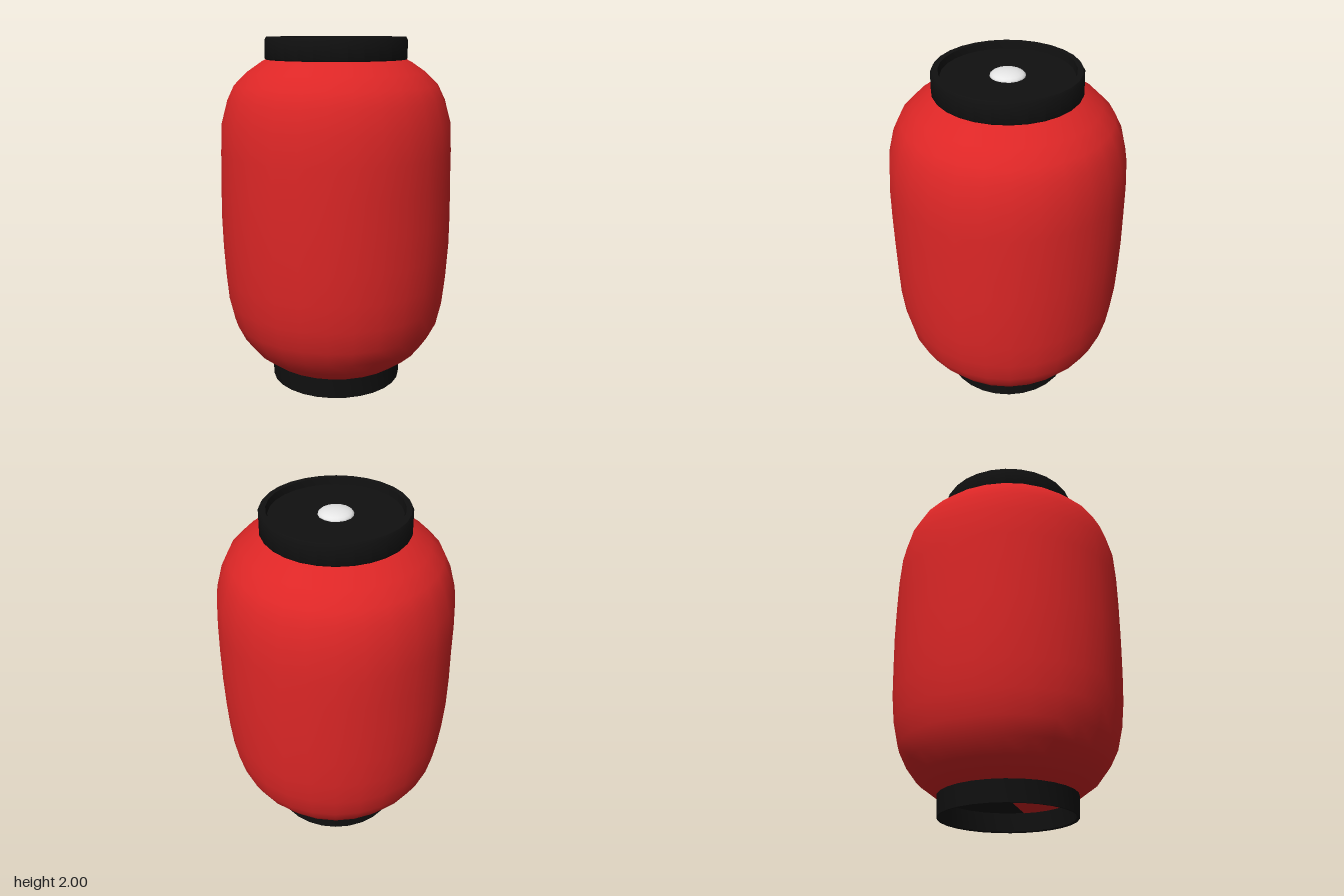
import * as THREE from 'three';
import { mergeVertices, toCreasedNormals } from 'three/addons/utils/BufferGeometryUtils.js';

const SIDES = 28;

const material = (name, color) => {
  const m = new THREE.MeshStandardMaterial({ color });
  m.name = name;
  return m;
};

const lathe = (points, sides = SIDES) =>
  new THREE.LatheGeometry(points.map(([r, y]) => new THREE.Vector2(r, y)), sides);

export function createModel() {
  const lantern = new THREE.Group();
  lantern.name = 'paperLantern';
  const red = material('red paper', 0xdc2626);
  const black = material('black lacquer', 0x101010);
  const white = material('white bulb', 0xe6e6e6);

  const add = (name, geometry, mat) => {
    const mesh = new THREE.Mesh(geometry, mat);
    mesh.name = name;
    lantern.add(mesh);
    return mesh;
  };

  // Paper body: barrel profile with faint wrinkles
  const paper = lathe([
    [0.37, 0.11], [0.4, 0.125], [0.5, 0.2], [0.56, 0.28], [0.605, 0.37], [0.635, 0.5],
    [0.65, 0.65], [0.657, 0.82], [0.66, 1.0], [0.658, 1.2], [0.655, 1.37], [0.645, 1.53],
    [0.61, 1.66], [0.57, 1.74], [0.5, 1.81], [0.42, 1.865], [0.38, 1.885],
  ]);
  paper.deleteAttribute('uv');
  paper.deleteAttribute('normal');
  const body = mergeVertices(paper, 1e-4);
  const p = body.attributes.position;
  for (let i = 0; i < p.count; i++) {
    const x = p.getX(i), y = p.getY(i), z = p.getZ(i);
    const a = Math.atan2(x, z);
    const fade = Math.sin(Math.PI * y / 2);
    const k = 1 + 0.004 * fade * Math.sin(5 * a + 9 * y) * Math.sin(3 * a - 17 * y);
    p.setXYZ(i, x * k, y, z * k);
  }
  body.computeVertexNormals();
  add('paperBody', body, red);

  // Top collar with a shallow recessed lid
  add('topCollar', toCreasedNormals(lathe([
    [0.385, 1.865], [0.398, 1.885], [0.397, 1.985], [0.388, 2.0],
    [0.358, 2.0], [0.35, 1.965], [0, 1.96],
  ]), 0.6), black);

  // Bottom collar with a deep recessed floor
  add('bottomCollar', toCreasedNormals(lathe([
    [0, 0.11], [0.36, 0.11], [0.365, 0.005], [0.37, 0], [0.38, 0], [0.385, 0.125],
  ]), 0.6), black);

  // Red paper wedges showing on the bottom floor: start angle and width in degrees
  [[-13, 49], [97, 16], [175, 25]].forEach(([start, width], i) => {
    const geometry = new THREE.CircleGeometry(0.355, 4, start * Math.PI / 180, width * Math.PI / 180);
    geometry.rotateX(Math.PI / 2);
    add('floorWedge' + (i + 1), geometry, red).position.y = 0.107;
  });

  // Bulb dome just breaking through the lid
  const dome = new THREE.SphereGeometry(0.095, 16, 6, 0, Math.PI * 2, 0, Math.PI / 2);
  dome.scale(1, 0.35, 1);
  add('bulb', dome, white).position.y = 1.96;

  return lantern;
}
